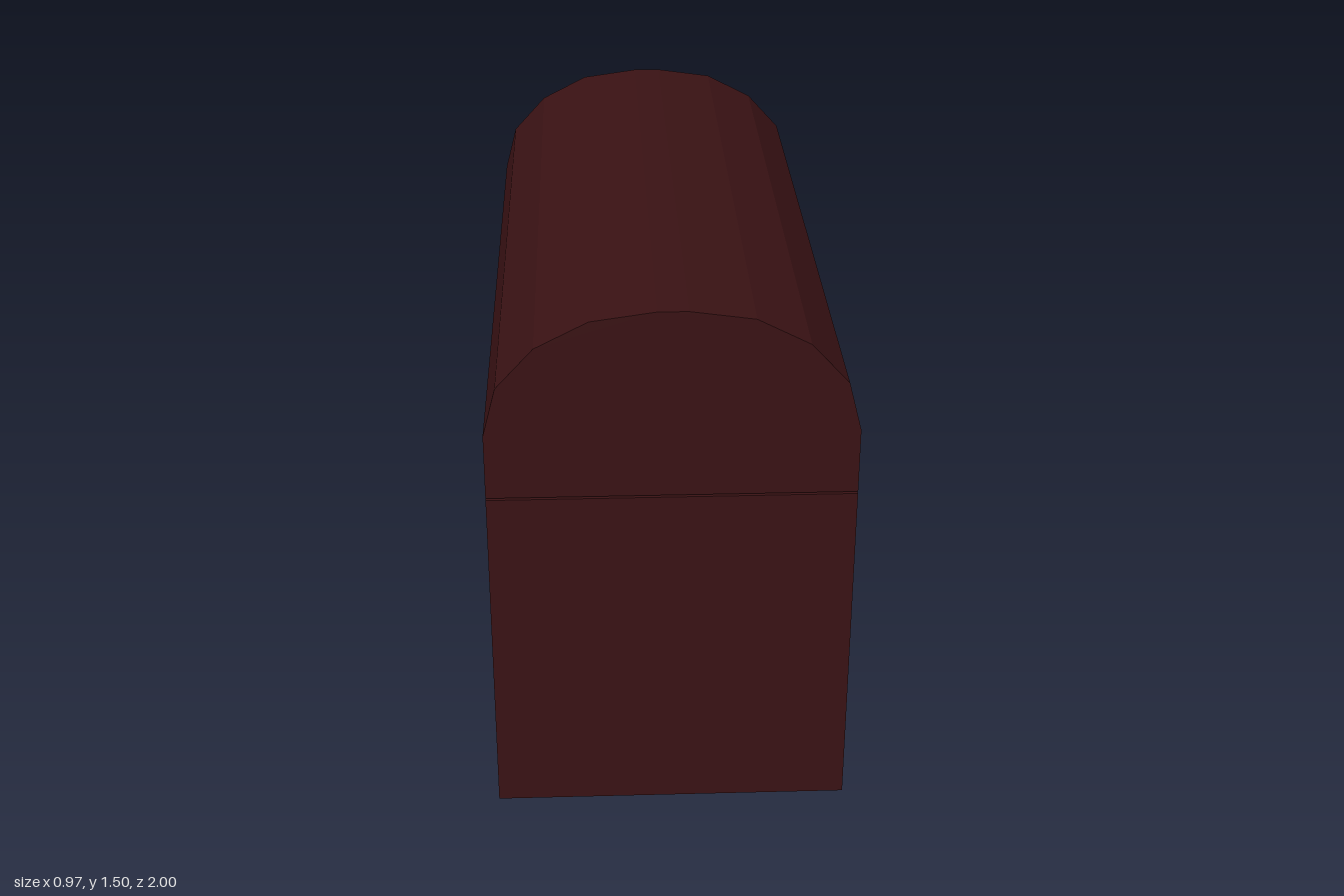
import * as THREE from 'three';

const HALF_WIDTH = 0.485;
const LENGTH = 2;
const BODY_TOP = 0.968;
const LID_BOTTOM = 0.974;

export function createModel() {
  const group = new THREE.Group();
  group.name = 'chest';
  const wood = new THREE.MeshStandardMaterial({ color: 0x3a1214, flatShading: true });

  // Box-shaped lower body
  const body = new THREE.Mesh(new THREE.BoxGeometry(HALF_WIDTH * 2, BODY_TOP, LENGTH), wood);
  body.name = 'body';
  body.position.y = BODY_TOP / 2;
  group.add(body);

  // Faceted barrel lid, separated from the body by a thin gap
  const rightHalf = [
    [HALF_WIDTH, LID_BOTTOM], [HALF_WIDTH, 1.155], [0.45, 1.29],
    [0.35, 1.4], [0.21, 1.472], [0.04, 1.496],
  ];
  const leftHalf = rightHalf.map(([x, y]) => [-x, y]).reverse();
  const profile = new THREE.Shape([...rightHalf, ...leftHalf].map(([x, y]) => new THREE.Vector2(x, y)));
  const lidGeometry = new THREE.ExtrudeGeometry(profile, { depth: LENGTH, bevelEnabled: false });
  lidGeometry.translate(0, 0, -LENGTH / 2);
  const lid = new THREE.Mesh(lidGeometry, wood);
  lid.name = 'lid';
  group.add(lid);

  return group;
}
